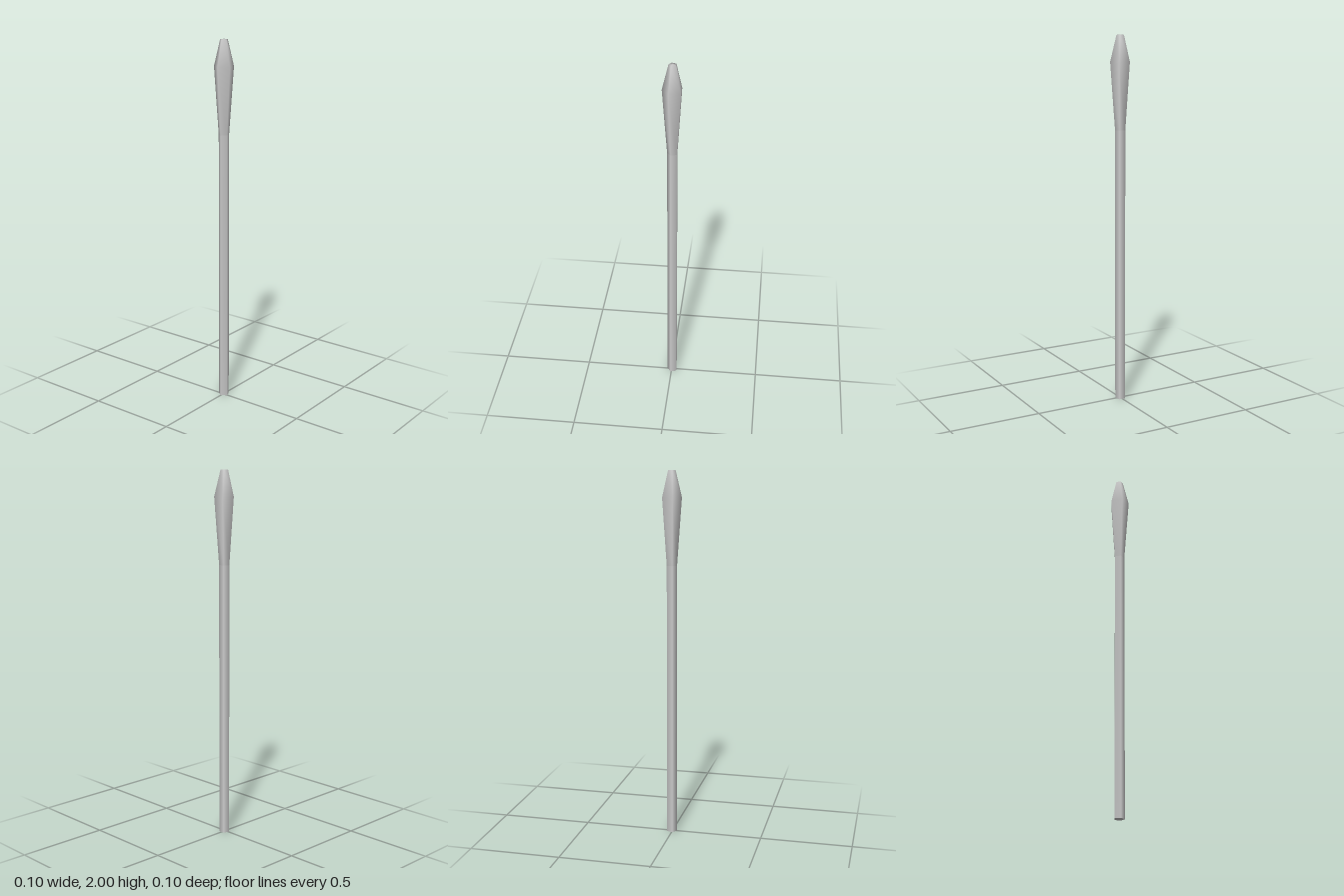
import * as THREE from 'three';

const SIDES = 5;
const SHAFT_R = 0.029;
const SHAFT_TOP = 1.5;

export function createModel() {
  const group = new THREE.Group();
  group.name = 'pole';
  const material = new THREE.MeshStandardMaterial({ color: 0xcccccc });

  const add = (name, geometry) => {
    const mesh = new THREE.Mesh(geometry, material);
    mesh.name = name;
    mesh.position.z = -0.005; // centres the pentagon's depth
    group.add(mesh);
  };
  // Five-sided lathe from [radius, height] pairs, one corner facing the front
  const turned = (profile) =>
    new THREE.LatheGeometry(profile.map(([r, y]) => new THREE.Vector2(r, y)), SIDES);

  // Long straight shaft
  add('shaft', turned([[SHAFT_R, 0], [SHAFT_R, SHAFT_TOP]]));

  // Swollen head, tapering to a small closed tip
  add('head', turned([[SHAFT_R, SHAFT_TOP], [0.055, 1.86], [0.021, 2], [0, 2]]));

  // Flat end of the shaft, facing down
  add('shaftEnd', new THREE.CircleGeometry(SHAFT_R, SIDES, Math.PI / 2).rotateX(Math.PI / 2));

  return group;
}
